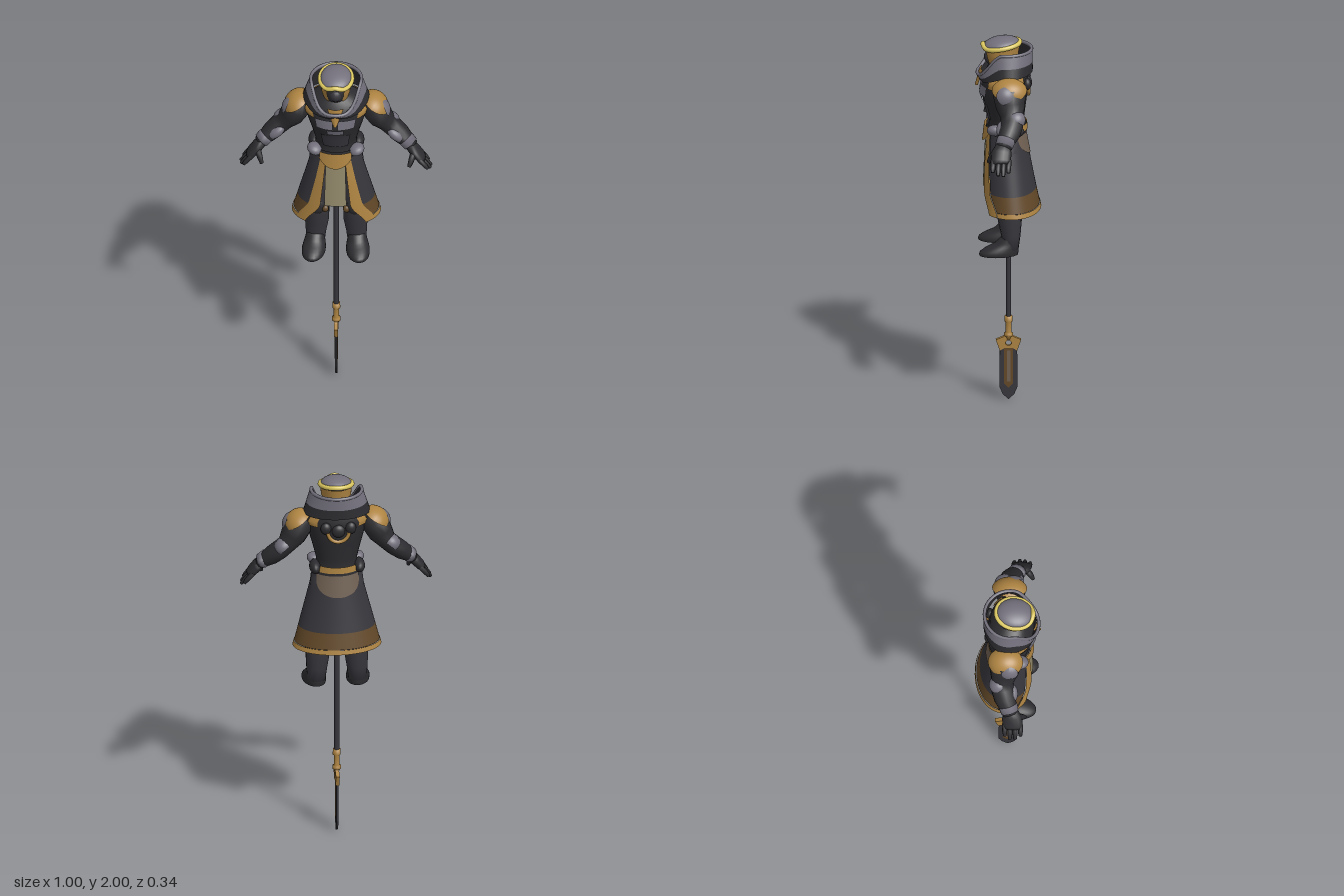
import * as THREE from 'three';
import { mergeVertices } from 'three/addons/utils/BufferGeometryUtils.js';

const V = (x, y, z) => new THREE.Vector3(x, y, z);
const { lerp, smoothstep } = THREE.MathUtils;
const TAU = Math.PI * 2;

// Grid surface: u runs around, v runs downward
function patch(fn, nu = 16, nv = 6) {
  const pos = [], idx = [];
  for (let j = 0; j <= nv; j++) for (let i = 0; i <= nu; i++) pos.push(...fn(i / nu, j / nv).toArray());
  for (let j = 0; j < nv; j++) for (let i = 0; i < nu; i++) {
    const a = j * (nu + 1) + i, c = a + nu + 1;
    idx.push(a, c, a + 1, a + 1, c, c + 1);
  }
  let g = new THREE.BufferGeometry();
  g.setAttribute('position', new THREE.Float32BufferAttribute(pos, 3));
  g.setIndex(idx);
  g = mergeVertices(g, 1e-5);
  g.computeVertexNormals();
  return g;
}

// Elliptical body surface from rings [y, halfWidth, zFront, zBack], listed top down
function body(rings) {
  return (a, y, off = 0) => {
    let i = 0;
    while (i < rings.length - 2 && y < rings[i + 1][0]) i++;
    const p = rings[i], q = rings[i + 1], t = (p[0] - y) / (p[0] - q[0]);
    const [rx, zf, zb] = [1, 2, 3].map(k => lerp(p[k], q[k], t));
    return V((rx + off) * Math.sin(a), y, (zf + zb) / 2 + ((zf - zb) / 2 + off) * Math.cos(a));
  };
}
const band = (s, a0, a1, y0, y1, off = 0, nu = 16, nv = 6) =>
  patch((u, v) => s(lerp(a0, a1, u), lerp(y0, y1, v), off), nu, nv);

// Closed limb through points [x, y, z, radius, depthRadius]
function limb(pts, n = 14) {
  const c = pts.map(p => V(p[0], p[1], p[2])), last = pts.length - 1;
  return patch((u, v) => {
    const k = Math.round(v * (last + 2)) - 1, i = Math.min(Math.max(k, 0), last);
    const t = c[Math.min(i + 1, last)].clone().sub(c[Math.max(i - 1, 0)]).normalize();
    const U = V(0, 0, 1).cross(t).normalize(), W = t.clone().cross(U);
    const r = k === i ? 1 : 0, a = u * TAU;
    return c[i].clone().addScaledVector(U, r * pts[i][3] * Math.sin(a))
      .addScaledVector(W, r * (pts[i][4] ?? pts[i][3]) * Math.cos(a));
  }, n, last + 2);
}

function ball(x, y, z, rx, ry, rz, tilt = 0, theta = Math.PI) {
  return new THREE.SphereGeometry(1, 20, 12, 0, TAU, 0, theta).scale(rx, ry, rz).rotateZ(tilt).translate(x, y, z);
}

function mirror(geo) {
  const g = geo.clone().scale(-1, 1, 1), ix = g.index.array;
  for (let i = 0; i < ix.length; i += 3) [ix[i], ix[i + 1]] = [ix[i + 1], ix[i]];
  g.computeVertexNormals();
  return g;
}

function extrude(shape, depth) {
  return new THREE.ExtrudeGeometry(shape, { depth, bevelEnabled: false, curveSegments: 16 })
    .translate(0, 0, -depth / 2).rotateY(-Math.PI / 2);
}
const poly = pts => new THREE.Shape(pts.map(p => new THREE.Vector2(...p)));

export function createModel() {
  const model = new THREE.Group();
  const mat = (name, color) => {
    const m = new THREE.MeshStandardMaterial({ color, side: THREE.DoubleSide });
    m.name = name;
    return m;
  };
  const cloth = mat('dark cloth', 0x37363c), armor = mat('black armour', 0x2c2c30), grey = mat('grey plate', 0x73707c);
  const gold = mat('gold', 0xae8442), yellow = mat('bright yellow', 0xdcc860), tan = mat('tan cloth', 0x948b6c);
  const brown = mat('brown band', 0x624828), taupe = mat('taupe cloth', 0x6f6052);
  const add = (name, geo, m) => {
    const mesh = new THREE.Mesh(geo, m);
    mesh.name = name;
    model.add(mesh);
  };
  const pair = (name, geo, m) => {
    add(name + 'Left', geo, m);
    add(name + 'Right', mirror(geo), m);
  };

  // Torso with chest plates and straps
  const torso = body([[1.87, .06, .08, -.05], [1.83, .13, .11, -.09], [1.78, .165, .135, -.1], [1.7, .145, .145, -.1],
    [1.63, .125, .12, -.09], [1.55, .105, .1, -.08], [1.46, .12, .11, -.085]]);
  add('torso', band(torso, 0, TAU, 1.87, 1.46, 0, 32, 20), armor);
  pair('chestPlate', band(torso, .08, .7, 1.755, 1.7, .008), grey);
  add('sternumPlate', band(torso, -.3, .3, 1.695, 1.66, .008), grey);
  add('abdomenPlate', band(torso, -.6, .6, 1.65, 1.56, .006), cloth);
  pair('shoulderStrap', band(torso, .75, 1.25, 1.83, 1.75, .006), gold);
  pair('backStrap', band(torso, 2, 2.45, 1.83, 1.76, .006), gold);
  add('throatPlate', patch((u, v) => V((u - .5) * lerp(.085, .02, v), lerp(1.83, 1.735, v), lerp(.15, .175, v) - Math.abs(u - .5) * .03), 4, 3), gold);
  add('backArc', new THREE.TorusGeometry(.055, .01, 8, 20, Math.PI).rotateZ(Math.PI).translate(0, 1.74, -.103), gold);
  add('backClasp', ball(0, 1.745, -.1, .035, .035, .022), armor);
  pair('backKnob', ball(.065, 1.76, -.095, .028, .032, .022), armor);

  // Belt, buckle and hip pads
  add('belt', band(torso, 0, TAU, 1.53, 1.485, .012, 32, 3), armor);
  add('backBelt', band(torso, 2.3, TAU - 2.3, 1.535, 1.5, .016), gold);
  add('buckle', patch((u, v) => {
    const a = lerp(-.65, .65, u);
    return torso(a, lerp(1.525, 1.435 + .05 * (a / .65) ** 2, v), .024);
  }, 12, 4), gold);
  pair('hipPad', ball(.108, 1.52, .07, .042, .03, .045, .35), grey);
  pair('hipPouch', ball(.115, 1.515, -.02, .03, .035, .06), armor);

  // Long open coat skirt with trim
  const skirt = body([[1.5, .118, .115, -.085], [1.35, .155, .13, -.112], [1.2, .195, .137, -.14], [1.07, .228, .142, -.167]]);
  const inner = y => .4 + .35 * smoothstep(-y, -1.2, -1.06), outer = y => lerp(.66, .8, (1.5 - y) / .43) + .28 * smoothstep(-y, -1.2, -1.07);
  const around = (y0, y1, off = 0) => patch((u, v) => {
    const y = lerp(y0, y1, v), a = outer(y);
    return skirt(lerp(a, TAU - a, u), y, off);
  }, 40, 6);
  add('skirt', around(1.5, 1.18), cloth);
  add('skirtBand', around(1.18, 1.095), brown);
  add('skirtHem', around(1.095, 1.07, .003), gold);
  pair('skirtTrim', patch((u, v) => {
    const y = lerp(1.5, 1.07, v);
    return skirt(lerp(inner(y), outer(y), u), y, .004);
  }, 8, 20), gold);
  add('tabard', patch((u, v) => {
    const x = (u - .5) * lerp(.1, .115, v);
    return V(x, lerp(1.48, 1.19, v), lerp(.12, .133, v) - x * x * 2);
  }, 8, 4), tan);
  add('backDrape', patch((u, v) => {
    const s = u * 2 - 1;
    return skirt(Math.PI + s * 1.05, lerp(1.495, 1.495 - .125 * Math.sqrt(1 - s * s), v), .005);
  }, 20, 5), taupe);

  // Legs and boots
  pair('leg', limb([[.075, 1.46, 0, .06], [.09, 1.25, 0, .07], [.1, 1.13, 0, .066, .068], [.1, 1.02, -.005, .064, .062],
    [.105, .94, -.01, .055, .05], [.107, .87, -.005, .048, .045]]), cloth);
  pair('kneeGuard', ball(.098, 1.13, .05, .045, .05, .025), armor);
  pair('legTie', ball(.055, 1.12, .06, .018, .02, .015), brown);
  const boot = body([[.935, .045, .04, -.05], [.9, .05, .075, -.05], [.875, .058, .13, -.05], [.855, .062, .157, -.05], [.84, .06, .155, -.048]]);
  const place = g => g.rotateY(.12).translate(.108, 0, 0);
  pair('boot', place(band(boot, 0, TAU, .935, .84, 0, 24, 10)), armor);
  pair('bootSole', place(patch((u, v) => boot(u * TAU, .84).multiply(V(1 - v, 1, 1 - v)), 24, 2)), armor);

  // Arms
  pair('upperArm', limb([[.17, 1.79, 0, .05], [.2, 1.75, 0, .074, .085], [.228, 1.69, -.005, .066, .075], [.262, 1.645, -.012, .05, .058],
    [.295, 1.615, -.01, .05, .06], [.335, 1.58, .005, .048, .057], [.375, 1.545, .025, .037, .045], [.395, 1.525, .035, .032, .042]]), armor);
  pair('pauldron', ball(.19, 1.752, 0, .083, .079, .098, -.55, 1.2), gold);
  pair('pauldronPlate', ball(.207, 1.742, .02, .072, .076, .074, -1.2, .72), grey);
  pair('elbowPlate', ball(.28, 1.64, -.032, .05, .045, .05, -.7, 1.7), grey);
  pair('forearmPlate', ball(.312, 1.595, .035, .055, .03, .035, -.7), grey);
  pair('wristCuff', limb([[.362, 1.56, .02, .042, .05], [.388, 1.535, .032, .04, .047]]), grey);

  // Hands
  pair('palm', limb([[.385, 1.535, .035, .028, .04], [.41, 1.505, .045, .028, .052], [.44, 1.47, .05, .024, .052], [.452, 1.457, .05, .018, .046]]), armor);
  for (let i = 0; i < 4; i++) {
    const z = .008 + i * .027, d = [.014, 0, .003, .016][i];
    pair('finger' + (i + 1), limb([[.435, 1.474, z, .014], [.472 - d / 2, 1.432 + d / 2, z + .002, .013], [.494 - d, 1.406 + d, z + .003, .009]], 8), armor);
  }
  pair('thumb', limb([[.405, 1.51, .075, .018], [.392, 1.475, .1, .015], [.382, 1.445, .112, .01]], 8), armor);

  // Tall collar, low at the front
  const frontness = a => smoothstep(Math.cos(a), .2, 1);
  const collar = (a, t) => {
    const f = frontness(a), rz = lerp(.13, .138, t);
    return V(lerp(.175, .137, t) * Math.sin(a), lerp(1.82 - .045 * f, 1.935 - .13 * f, t), lerp(.004, .013, t) + rz * Math.cos(a) + .018 * f);
  };
  add('collarBase', patch((u, v) => collar(u * TAU, lerp(.45, 0, v)), 36, 3), armor);
  add('collar', patch((u, v) => collar(u * TAU, lerp(1, .45, v)), 36, 3), grey);
  add('collarLining', patch((u, v) => collar(u * TAU, lerp(.97, 0, v)).multiply(V(.9, 1, .9)), 36, 3), armor);
  const rim = Array.from({ length: 28 }, (_, i) => collar(i / 28 * TAU, 1).multiply(V(.96, 1, .96)));
  add('collarRim', new THREE.TubeGeometry(new THREE.CatmullRomCurve3(rim, true), 56, .009, 8, true), grey);

  // Head and helmet
  add('head', ball(0, 1.895, .032, .07, .085, .085), armor);
  add('visor', ball(0, 1.89, .06, .042, .05, .068), cloth);
  const helm = body([[1.96, .083, .133, -.06], [1.9, .078, .122, -.05], [1.84, .06, .1, -.03]]);
  add('helmetBand', band(helm, .6, TAU - .6, 1.955, 1.9, 0, 28, 3), gold);
  pair('cheekGuard', band(helm, .55, 1.15, 1.94, 1.85, .003, 8, 4), gold);
  add('cap', ball(0, 0, 0, .083, .044, .098, 0, Math.PI / 2).rotateX(.14).translate(0, 1.954, .037), grey);
  const brow = Array.from({ length: 24 }, (_, i) => {
    const a = (i / 24 - .5) * TAU;
    return V(.083 * Math.sin(a), 1.956 - .015 * Math.cos(a) + .02 * Math.exp(-((a / .4) ** 2)), .037 + .096 * Math.cos(a));
  });
  add('capRim', new THREE.TubeGeometry(new THREE.CatmullRomCurve3(brow, true), 60, .0125, 8, true), yellow);

  // Polearm: shaft, ferrule, pierced guard and blade
  add('shaft', new THREE.CylinderGeometry(.014, .014, 1, 12).translate(0, .94, 0), cloth);
  const ferrule = [[0, .46], [.02, .46], [.021, .43], [.015, .425], [.015, .37], [.023, .365], [.023, .35], [.015, .345], [.012, .33], [0, .33]];
  add('ferrule', new THREE.LatheGeometry(ferrule.reverse().map(p => new THREE.Vector2(...p)), 16), gold);
  const guard = poly([[0, .365], [.03, .345], [.066, .33], [.045, .27], [.02, .285], [-.02, .285], [-.045, .27], [-.066, .33], [-.03, .345]]);
  guard.holes.push(new THREE.Path().absarc(0, .312, .015, 0, TAU, true));
  add('guard', extrude(guard, .02), gold);
  add('blade', extrude(poly([[-.045, .285], [-.047, .07], [-.03, .03], [0, 0], [.03, .03], [.047, .07], [.045, .285]]), .01), cloth);
  add('bladeInlay', extrude(poly([[-.024, .285], [-.024, .09], [0, .065], [.024, .09], [.024, .285]]), .014), brown);
  add('bladeCore', extrude(poly([[-.009, .27], [-.009, .1], [.009, .1], [.009, .27]]), .017), taupe);
  return model;
}
